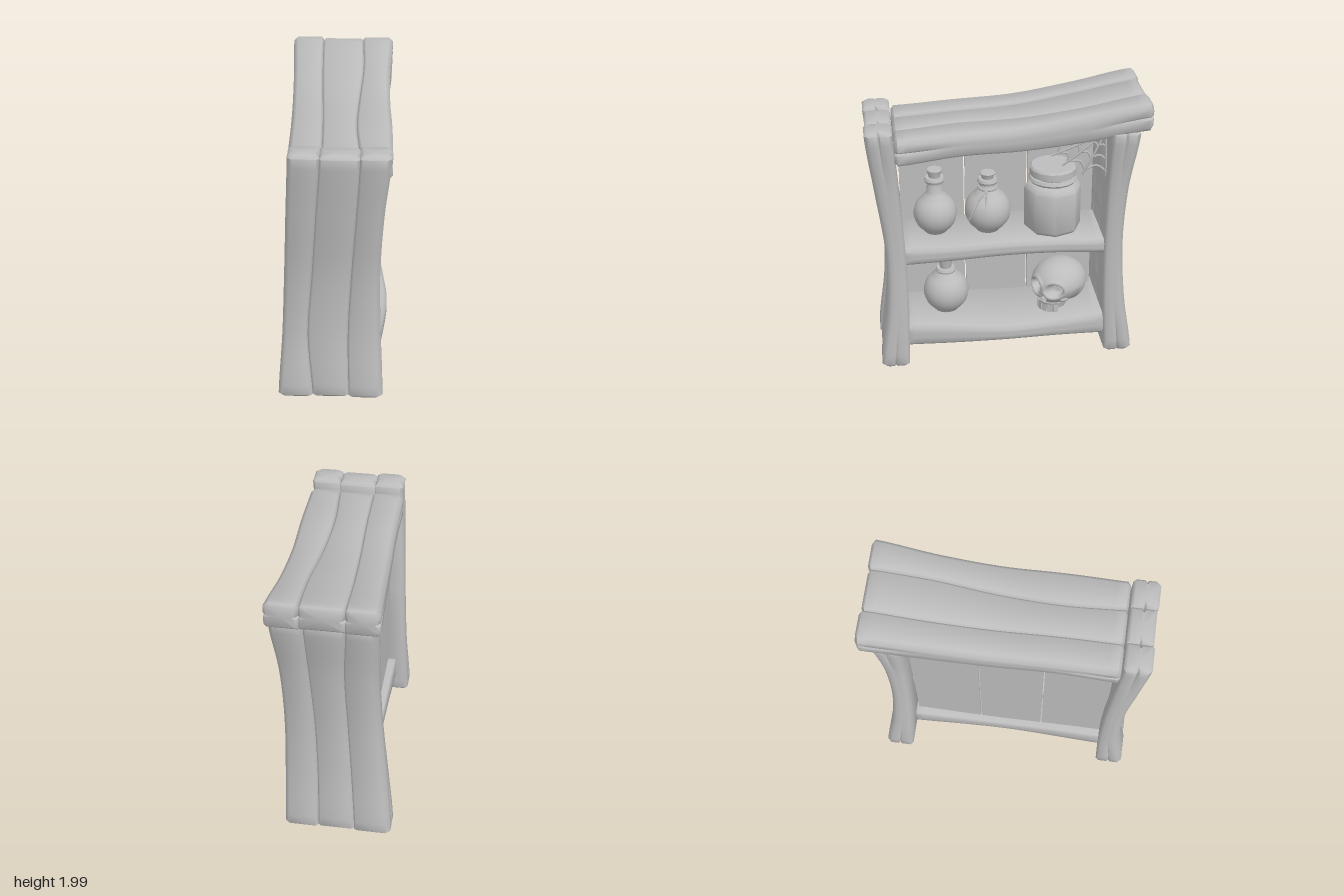
import * as THREE from 'three';
import { toCreasedNormals } from 'three/addons/utils/BufferGeometryUtils.js';

const V = (x, y, z) => new THREE.Vector3(x, y, z);

// smooth function of t (0..1) through evenly spaced values
function along(values) {
  const c = new THREE.SplineCurve(values.map((v, i) => new THREE.Vector2(i, v)));
  return t => c.getPoint(t).y;
}

// bevelled, bent plank along 'y' or 'z'; x limits and thickness limits change along its length.
// bevels: corners (x0,v0), (x1,v0), (x1,v1), (x0,v1); crack: depth of the split in the edges near the ends
function plank(axis, from, to, x0, x1, v0, v1, bevels, crack) {
  const pos = [], idx = [], n = 20, size = 14;
  const e = 0.02 / Math.abs(to - from);
  const rings = [[0, 0.02], [e, 0]];
  for (let i = 1; i < n; i++) rings.push([i / n, 0]);
  rings.push([1 - e, 0], [1, 0.02]);
  const add = (u, v, l) => (axis === 'y' ? pos.push(u, l, v) : pos.push(u, v, l));
  const [p, q, r, s] = bevels;
  for (const [t, inset] of rings) {
    const a = x0(t) + inset, b = x1(t) - inset, c = v0(t) + inset, d = v1(t) - inset;
    const l = from + (to - from) * t, m = (c + d) / 2;
    const w = crack * Math.max(0, 1 - Math.min(t, 1 - t) / 0.24);
    [[a + p, c], [b - q, c], [b, c + q], [b, m - 0.012], [b - w, m], [b, m + 0.012], [b, d - r],
      [b - r, d], [a + s, d], [a, d - s], [a, m + 0.012], [a + w, m], [a, m - 0.012], [a, c + p]]
      .forEach(([u, v]) => add(u, v, l));
  }
  const end = rings.length * size;
  for (const t of [0, 1]) add((x0(t) + x1(t)) / 2, (v0(t) + v1(t)) / 2, t ? to : from);
  const flip = (axis === 'y') !== (to < from);
  const tri = (a, b, c) => (flip ? idx.push(a, c, b) : idx.push(a, b, c));
  const last = end - size;
  for (let j = 0; j < size; j++) {
    const k = (j + 1) % size;
    for (let i = 0; i < last; i += size) {
      tri(i + j, i + k, i + k + size);
      tri(i + j, i + k + size, i + j + size);
    }
    tri(end, k, j);
    tri(end + 1, last + j, last + k);
  }
  const g = new THREE.BufferGeometry();
  g.setAttribute('position', new THREE.Float32BufferAttribute(pos, 3));
  g.setIndex(idx);
  return toCreasedNormals(g, 0.9);
}

export function createModel() {
  const model = new THREE.Group();
  const grey = new THREE.MeshStandardMaterial({ color: 0xbcbcbc });
  grey.name = 'plain grey';
  const mesh = (name, geo, parent = model) => {
    const m = new THREE.Mesh(geo, grey);
    m.name = name;
    parent.add(m);
    return m;
  };
  const group = (name, x = 0, y = 0, z = 0) => {
    const g = new THREE.Group();
    g.name = name;
    g.position.set(x, y, z);
    model.add(g);
    return g;
  };

  // three planks side by side, divided by four seams; flush on the inside, grooved on the outside
  function boards(name, axis, from, to, seams, low, high, outerIsHigh) {
    const g = group(name), s = seams.map(along), lo = along(low), hi = along(high);
    for (let i = 0; i < 3; i++) {
      const dip = i === 1 ? 0.008 : 0;
      const left = i === 0 ? 0.03 : 0.016, right = i === 2 ? 0.03 : 0.016, flush = 0.002;
      const inL = i === 0 ? 0.02 : flush, inR = i === 2 ? 0.02 : flush;
      const bevels = outerIsHigh ? [inL, inR, right, left] : [left, right, inR, inL];
      mesh('plank', plank(axis, from, to - dip * Math.sign(to - from), s[i], s[i + 1],
        t => lo(t) + (outerIsHigh ? 0 : dip), t => hi(t) - (outerIsHigh ? dip : 0), bevels, 0.018), g);
    }
  }
  boards('frontSide', 'y', 0.01, 1.875,
    [[-0.35, -0.32, -0.3, -0.28, -0.26], [-0.11, -0.145, -0.115, -0.085, -0.055],
      [0.14, 0.13, 0.15, 0.18, 0.205], [0.375, 0.355, 0.345, 0.365, 0.41]],
    [0.73, 0.72, 0.73, 0.76, 0.79], [0.93, 0.875, 0.87, 0.925, 0.98], true);
  boards('backSide', 'y', 0.01, 1.8,
    [[-0.42, -0.375, -0.33, -0.305, -0.31], [-0.16, -0.13, -0.1, -0.08, -0.1],
      [0.1, 0.11, 0.13, 0.16, 0.18], [0.34, 0.34, 0.34, 0.36, 0.41]],
    [-0.915, -0.85, -0.82, -0.84, -0.9], [-0.71, -0.69, -0.685, -0.69, -0.7], false);
  boards('roof', 'z', 0.78, -0.975,
    [[-0.27, -0.275, -0.29, -0.31, -0.335], [-0.05, -0.06, -0.08, -0.1, -0.11],
      [0.2, 0.17, 0.18, 0.2, 0.19], [0.415, 0.41, 0.395, 0.395, 0.415]],
    [1.63, 1.68, 1.69, 1.735, 1.81], [1.815, 1.84, 1.86, 1.925, 2.0], true);

  // shelves
  const shelf = (name, back, front, low, high) => mesh(name, plank('z', 0.75, -0.71,
    along(back), along(front), along(low), along(high), [0.01, 0.025, 0.025, 0.01], 0));
  shelf('middleShelf', [-0.175, -0.175], [0.31, 0.33, 0.34, 0.33, 0.32],
    [0.81, 0.835, 0.86, 0.855, 0.83], [0.945, 0.95, 0.97, 0.96, 0.94]);
  shelf('bottomShelf', [-0.25, -0.24, -0.25], [0.32, 0.37, 0.4, 0.37, 0.33],
    [0.15, 0.175, 0.195, 0.185, 0.16], [0.325, 0.325, 0.31, 0.315, 0.33]);

  // upright back boards
  [[0.74, 0.275], [0.265, -0.185], [-0.195, -0.675]].forEach(([a, b]) => {
    const m = mesh('backBoard', new THREE.BoxGeometry(0.03, 1.5, a - b));
    m.position.set(-0.175, 0.99, (a + b) / 2);
  });

  const lathe = (pts, seg, crease = 0.7) =>
    toCreasedNormals(new THREE.LatheGeometry(pts.map(p => new THREE.Vector2(...p)), seg), crease);

  // round flasks with collar and cork
  function flask(x, y, z, r, collar, top) {
    const g = group('flask', x, y, z);
    const pts = [[0, 0], [r * 0.5, 0.005]];
    for (let a = -52; a <= 54; a += 10.6) {
      const q = a * Math.PI / 180;
      pts.push([r * Math.cos(q), r * 0.97 + r * Math.sin(q)]);
    }
    pts.push([0.07, r * 1.94], [0.058, r * 2.08], [0.052, collar]);
    mesh('flaskBody', lathe(pts, 18), g);
    mesh('flaskCollar', lathe([[0.04, collar - 0.01], [0.066, collar - 0.01], [0.074, collar + 0.01],
      [0.066, collar + 0.03], [0.03, collar + 0.03]], 14), g);
    mesh('cork', lathe([[0.038, collar], [0.042, collar + 0.04], [0.056, top - 0.006], [0.05, top], [0, top]], 12), g);
    return g;
  }
  flask(0.08, 0.965, 0.5, 0.155, 0.4, 0.49);
  const tied = flask(0.09, 0.965, 0.125, 0.165, 0.375, 0.45);
  flask(0.08, 0.315, 0.435, 0.165, 0.32, 0.435);

  // cord around the tied flask
  const loop = mesh('cordLoop', new THREE.TorusGeometry(0.063, 0.012, 6, 16), tied);
  loop.rotation.x = Math.PI / 2;
  loop.position.y = 0.335;
  [[0.08, 0.03], [0.06, 0.12]].forEach(([dx, dz]) => {
    const c = new THREE.CatmullRomCurve3([V(0.06, 0.335, 0.01), V(0.07 + dx * 0.5, 0.28, dz * 0.6),
      V(0.07 + dx, 0.2, dz), V(0.06 + dx, 0.14, dz * 1.2)]);
    mesh('cordEnd', new THREE.TubeGeometry(c, 10, 0.008, 5), tied);
  });

  // faceted jar with lid
  const jar = group('jar', 0.1, 0.965, -0.34);
  mesh('jarBody', lathe([[0, 0], [0.18, 0], [0.205, 0.025], [0.205, 0.32], [0.18, 0.355], [0.15, 0.365], [0.15, 0.4]], 8, 0.85), jar);
  mesh('jarRim', lathe([[0.14, 0.375], [0.165, 0.375], [0.175, 0.39], [0.165, 0.41], [0.14, 0.41]], 18), jar);
  mesh('jarLid', lathe([[0.14, 0.405], [0.15, 0.42], [0.168, 0.425], [0.168, 0.475], [0.155, 0.49], [0, 0.49]], 14), jar);

  // skull: sphere pressed in at the sockets and nose
  const skull = group('skull', 0.07, 0.5, -0.405);
  skull.rotation.y = 0.85;
  const head = new THREE.SphereGeometry(1, 72, 56), p = head.attributes.position;
  for (let i = 0; i < p.count; i++) {
    let x = p.getX(i) * 0.195, y = p.getY(i) * 0.165, z = p.getZ(i) * 0.215;
    if (z > 0) {
      if (y < 0) { x *= 1 + y * 1.2; z *= 1 - y * 1.2; }
      const eye = Math.hypot(Math.abs(x) - 0.078, (y - 0.005) * 1.05);
      if (eye < 0.054) z -= 0.07 * Math.min(1, (0.054 - eye) / 0.018);
      else if (eye < 0.085) z += 0.012 * Math.sin((eye - 0.054) / 0.031 * Math.PI);
      const nose = Math.abs(x) * 1.3 + Math.abs(y + 0.07) * 0.8;
      if (nose < 0.032) z -= 0.05 * Math.min(1, (0.032 - nose) / 0.01);
    }
    p.setXYZ(i, x, y, z);
  }
  head.computeVertexNormals();
  mesh('cranium', head, skull);
  const jaw = mesh('upperJaw', toCreasedNormals(new THREE.CylinderGeometry(0.112, 0.1, 0.05, 12), 0.8), skull);
  jaw.position.set(0, -0.13, 0.09);
  for (let i = 0; i < 5; i++) {
    const a = (i - 2) * 0.42;
    const tooth = mesh('tooth', new THREE.BoxGeometry(0.037, 0.055, 0.03), skull);
    tooth.position.set(Math.sin(a) * 0.092, -0.153, 0.09 + Math.cos(a) * 0.092);
    tooth.rotation.y = a;
  }
  for (const s of [-1, 1]) {
    const cheek = mesh('cheekbone', new THREE.SphereGeometry(0.04, 12, 8), skull);
    cheek.scale.set(0.8, 0.7, 1.3);
    cheek.position.set(s * 0.112, -0.075, 0.105);
  }

  // cobweb in the upper corner
  const web = group('cobweb', 0.25, 0, 0);
  const hub = V(0, 1.76, -0.68);
  const ends = [[1.69, -0.21], [1.59, -0.3], [1.51, -0.38], [1.43, -0.52], [1.41, -0.69]].map(([y, z]) => V(0, y, z));
  const thread = pts => mesh('thread', new THREE.TubeGeometry(new THREE.CatmullRomCurve3(pts), 8, 0.008, 5), web);
  ends.forEach((e, i) => {
    thread([hub, hub.clone().lerp(e, 0.5).add(V(0.01, -0.006, 0)), e]);
    if (!i) return;
    for (const k of [0.35, 0.62, 0.88]) {
      const a = hub.clone().lerp(ends[i - 1], k), b = hub.clone().lerp(e, k);
      thread([a, a.clone().add(b).multiplyScalar(0.5).lerp(hub, 0.13), b]);
    }
  });
  return model;
}
